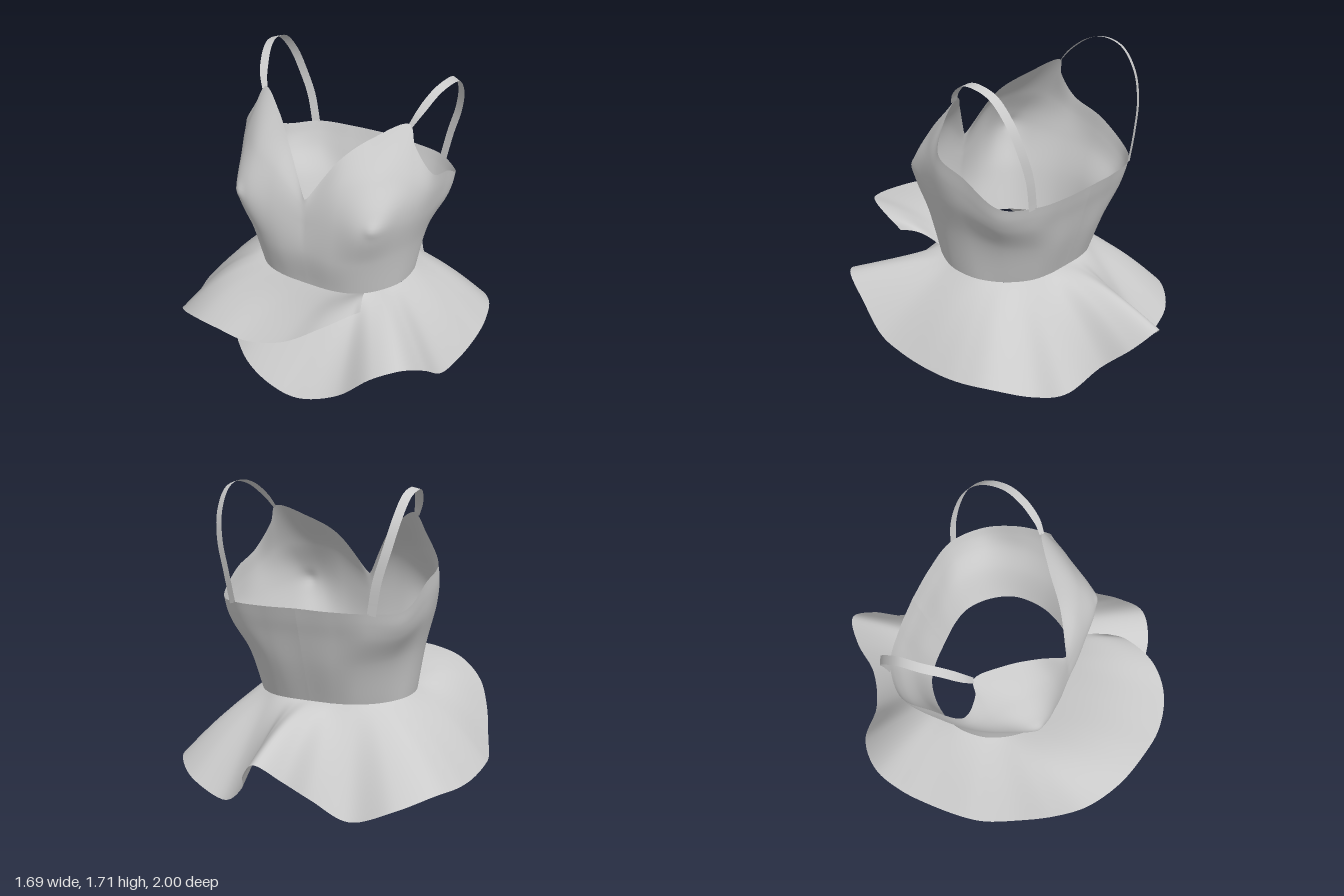
import * as THREE from 'three';

const mat = new THREE.MeshStandardMaterial({ color: 0xcccccc, side: THREE.DoubleSide });
const SHIFT = 0.012; // the bodice sits slightly to its left
const curve = pts => new THREE.CatmullRomCurve3(pts.map(p => new THREE.Vector3(p[0], p[1], p[2])));

// Smooth sheet through a list of columns, each an equal-length list of Vector3
function sheet(name, columns) {
  const n = columns[0].length, pos = [], idx = [];
  columns.forEach(col => col.forEach(p => pos.push(p.x, p.y, p.z)));
  for (let i = 0; i < columns.length - 1; i++) {
    for (let j = 0; j < n - 1; j++) {
      const a = i * n + j, b = a + n;
      idx.push(a, b, a + 1, b, b + 1, a + 1);
    }
  }
  const geo = new THREE.BufferGeometry();
  geo.setAttribute('position', new THREE.Float32BufferAttribute(pos, 3));
  geo.setIndex(idx);
  geo.computeVertexNormals();
  const mesh = new THREE.Mesh(geo, mat);
  mesh.name = name;
  return mesh;
}

// Half cross-sections of the bodice, from centre front to centre back
const waist = curve([
  [0, .565, .375], [.14, .565, .37], [.245, .565, .345], [.32, .56, .295], [.395, .55, .195], [.445, .54, .07],
  [.445, .535, -.1], [.37, .53, -.24], [.255, .53, -.335], [.14, .53, -.365], [0, .53, -.37]]);
const ribs = curve([
  [0, .8, .42], [.17, .8, .42], [.285, .8, .39], [.365, .8, .335], [.44, .8, .215], [.49, .8, .07],
  [.495, .8, -.1], [.435, .78, -.29], [.31, .76, -.4], [.17, .75, -.44], [0, .75, -.445]]);
const bust = curve([
  [0, 1, .405], [.2, 1.06, .42], [.35, 1.07, .42], [.43, 1.07, .38], [.495, 1.06, .245], [.55, 1.03, .08],
  [.563, 1, -.1], [.52, .93, -.32], [.38, .92, -.45], [.2, .92, -.485], [0, .92, -.495]]);
const chest = curve([
  [0, 1.07, .395], [.19, 1.24, .365], [.34, 1.29, .31], [.445, 1.3, .225], [.52, 1.25, .16], [.577, 1.17, .06],
  [.58, 1.1, -.13], [.54, 1, -.345], [.39, 1, -.475], [.2, 1, -.51], [0, 1, -.52]]);
const topEdge = curve([
  [.005, 1.13, .385], [.16, 1.375, .27], [.29, 1.48, .15], [.44, 1.545, .04], [.49, 1.44, .068], [.58, 1.28, .035],
  [.588, 1.2, -.15], [.55, 1.075, -.36], [.4, 1.07, -.49], [.2, 1.07, -.53], [0, 1.075, -.54]]);

function bodice() {
  const half = [];
  for (let i = 0; i <= 120; i++) {
    const section = [waist, ribs, bust, chest, topEdge].map(c => c.getPoint(i / 120));
    if (i === 0) section.forEach(p => { p.x = 0; });
    const col = new THREE.CatmullRomCurve3(section).getPoints(48);
    // small point at the apex of each cup
    col.forEach(p => {
      if (p.z > 0) p.z += .016 * Math.exp(-((p.x - .42) ** 2 + (p.y - 1.07) ** 2) / .0016);
    });
    half.push(col);
  }
  const other = half.slice(1).reverse().map(col => col.map(p => new THREE.Vector3(-p.x, p.y, p.z)));
  const columns = [...other, ...half];
  columns.forEach(col => col.forEach(p => { p.x += SHIFT; }));
  return sheet('bodice', columns);
}

// Hem points: x, y, z, then the place on the waist (0 centre front, 10 centre back, 20 front again)
const underHem = [
  [-.36, .4, .45, -2.1], [-.37, .28, .55, -1.9], [-.2, .2, .72, -1.2], [0, .155, .8, 0], [.2, .145, .82, 1.4],
  [.42, .22, .775, 2.6], [.6, .38, .73, 3.2], [.725, .42, .64, 3.8], [.787, .32, .47, 4.3], [.82, .185, .3, 4.8]];
const backHem = [
  [.835, .145, .13, 5.2], [.845, .13, -.1, 6], [.835, .135, -.3, 6.5], [.78, .14, -.49, 6.9], [.62, .08, -.645, 7.3],
  [.38, 0, -.69, 8], [.21, .12, -.78, 9], [.115, .25, -.92, 9.5]];
const flapHem = [
  [-.81, .15, .25, 15.3], [-.74, .21, .43, 15.7], [-.655, .335, .63, 16.2], [-.55, .455, .79, 16.8],
  [-.38, .55, .91, 17.6], [-.2, .59, .97, 18.6], [0, .605, 1, 20], [.2, .64, .95, 21.2], [.34, .685, .82, 22],
  [.42, .665, .62, 22.6], [.425, .62, .52, 23]];

// Wrapped skirt: one strip round the waist whose ends overlap at the front
function peplum() {
  const hem = [...underHem, ...backHem, [0, .345, -1, 10],
    ...[...backHem].reverse().map(p => [-p[0], p[1], p[2], 20 - p[3]]), ...flapHem];
  const outer = curve(hem);
  const place = curve(hem.map(p => [p[3], 0, 0]));
  const columns = [];
  const N = 280, M = 24;
  for (let i = 0; i <= N; i++) {
    const end = outer.getPoint(i / N);
    let w = place.getPoint(i / N).x;
    // the under layer sags below the flap, the flap side billows upward
    const bulge = .03 - .04 * (1 - THREE.MathUtils.smoothstep(w, 2, 6))
      + .035 * Math.exp(-((w - 16) ** 2) / 1.5);
    if (w > 10) w -= 20;
    const start = waist.getPoint(Math.min(Math.abs(w) / 10, 1));
    if (w < 0) start.x *= -1;
    start.x += SHIFT;
    const col = [];
    for (let j = 0; j <= M; j++) {
      const p = start.clone().lerp(end, j / M);
      p.y += bulge * Math.sin(Math.PI * j / M);
      col.push(p);
    }
    columns.push(col);
  }
  return sheet('peplum', columns);
}

// Thin ribbon over each shoulder, narrow at the cup and tilted slightly outward
function strap(side) {
  const path = curve([
    [.445, 1.535, .042], [.475, 1.6, 0], [.515, 1.68, -.1], [.54, 1.703, -.2], [.543, 1.67, -.32],
    [.53, 1.55, -.42], [.5, 1.4, -.47], [.455, 1.24, -.487], [.42, 1.06, -.48]]);
  const columns = path.getPoints(70).map((p, i) => [-1, 0, 1].map(k => {
    const half = .012 + .01 * Math.min(i / 12, 1);
    return new THREE.Vector3(SHIFT + side * (p.x + k * half), p.y - k * .006, p.z + k * .008);
  }));
  return sheet(side > 0 ? 'leftStrap' : 'rightStrap', columns);
}

export function createModel() {
  const group = new THREE.Group();
  group.name = 'peplumTop';
  group.add(bodice(), peplum(), strap(1), strap(-1));
  return group;
}
